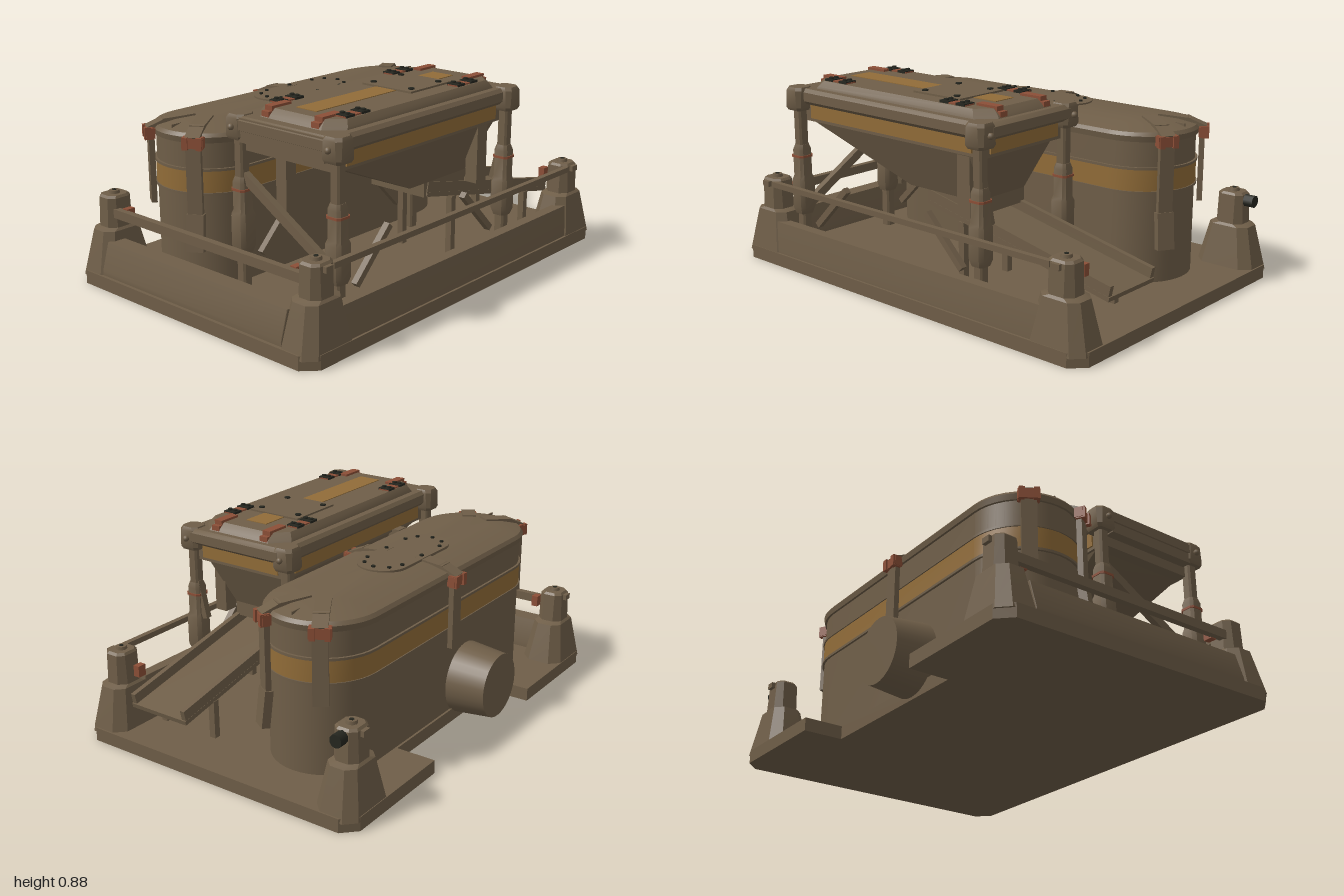
import * as THREE from 'three';
import { toCreasedNormals } from 'three/addons/utils/BufferGeometryUtils.js';

export function createModel() {
  const root = new THREE.Group();
  const material = (name, color) => {
    const m = new THREE.MeshStandardMaterial({ color });
    m.name = name;
    return m;
  };
  const brown = material('brown paint', 0x6f5e48);
  const ochre = material('ochre stripe', 0x916c38);
  const rust = material('rust clamp', 0x8c4f37);
  const black = material('black bolt', 0x25261f);

  const add = (name, geo, mat, parent = root) => {
    const mesh = new THREE.Mesh(geo, mat);
    mesh.name = name;
    parent.add(mesh);
    return mesh;
  };
  // box given by its limits
  const box = (name, x0, x1, y0, y1, z0, z1, mat = brown, parent = root) => {
    const m = add(name, new THREE.BoxGeometry(x1 - x0, y1 - y0, z1 - z0), mat, parent);
    m.position.set((x0 + x1) / 2, (y0 + y1) / 2, (z0 + z1) / 2);
    return m;
  };
  // straight bar between two points
  const bar = (name, a, b, w, d = w, mat = brown) => {
    const p = new THREE.Vector3(...a), q = new THREE.Vector3(...b);
    const m = add(name, new THREE.BoxGeometry(w, d, p.distanceTo(q)), mat);
    m.position.copy(p).add(q).multiplyScalar(0.5);
    m.lookAt(q);
    return m;
  };
  const bolt = (x, y, z, r = 0.011, parent = root) => {
    const m = add('bolt', new THREE.CylinderGeometry(r, r, 0.012, 6), black, parent);
    m.position.set(x, y, z);
  };
  // closed solid through rings listed bottom to top, each counterclockwise from above
  const loft = (rings) => {
    const v = [];
    const tri = (...ps) => ps.forEach((p) => v.push(p.x, p.y, p.z));
    const middle = (r) => r.reduce((s, p) => s.add(p), new THREE.Vector3()).divideScalar(r.length);
    const n = rings[0].length, top = rings[rings.length - 1];
    const cb = middle(rings[0]), ct = middle(top);
    for (let i = 0; i < n; i++) {
      const j = (i + 1) % n;
      for (let k = 0; k + 1 < rings.length; k++) {
        const lo = rings[k], up = rings[k + 1];
        tri(lo[i], lo[j], up[j], lo[i], up[j], up[i]);
      }
      tri(cb, rings[0][j], rings[0][i], ct, top[i], top[j]);
    }
    const g = new THREE.BufferGeometry();
    g.setAttribute('position', new THREE.Float32BufferAttribute(v, 3));
    return toCreasedNormals(g, 0.5);
  };
  // rectangle with cut corners
  const rect = (x0, x1, z0, z1, y, c) => [
    [x1, z1 - c], [x1, z0 + c], [x1 - c, z0], [x0 + c, z0],
    [x0, z0 + c], [x0, z1 - c], [x0 + c, z1], [x1 - c, z1],
  ].map(([x, z]) => new THREE.Vector3(x, y, z));
  // long round-ended outline
  const stadium = (x, half, r, y) => {
    const ring = [];
    for (let i = 0; i < 42; i++) {
      const a = Math.PI * (i < 21 ? i / 20 : 1 + (i - 21) / 20);
      ring.push(new THREE.Vector3(x + r * Math.cos(a), y, -r * Math.sin(a) + (i < 21 ? -half : half)));
    }
    return ring;
  };

  // base plate with a notch on one side
  const plan = new THREE.Shape([
    [-0.64, -1], [0.64, -1], [0.7, -0.94], [0.7, 0.94], [0.64, 1], [-0.64, 1], [-0.7, 0.94],
    [-0.7, 0.41], [-0.52, 0.41], [-0.52, -0.41], [-0.7, -0.41], [-0.7, -0.94],
  ].map(([x, y]) => new THREE.Vector2(x, y)));
  const plate = new THREE.ExtrudeGeometry(plan, { depth: 0.06, bevelEnabled: false });
  add('basePlate', plate.rotateX(-Math.PI / 2), brown);

  // sloped kerbs and rails
  add('frontKerb', loft([rect(-0.54, 0.54, 0.84, 0.985, 0.06, 0.002), rect(-0.54, 0.54, 0.84, 0.985, 0.08, 0.002),
    rect(-0.54, 0.54, 0.87, 0.95, 0.2, 0.002)]), brown);
  add('sideKerb', loft([rect(0.6, 0.69, -0.8, 0.8, 0.05, 0.002), rect(0.6, 0.69, -0.8, 0.8, 0.07, 0.002),
    rect(0.62, 0.67, -0.8, 0.8, 0.2, 0.002)]), brown);
  box('frontRail', -0.58, 0.58, 0.295, 0.335, 0.87, 0.9);
  box('sideRail', 0.635, 0.66, 0.355, 0.38, -0.82, 0.82);

  // corner posts
  for (const sx of [-1, 1]) for (const sz of [-1, 1]) {
    const x = sx * 0.6, z = sz * 0.855;
    const oct = (hx, hz, y, c) => rect(x - hx, x + hx, z - hz, z + hz, y, c);
    add('cornerPost', loft([oct(0.1, 0.142, 0.04, 0.045), oct(0.097, 0.138, 0.06, 0.045),
      oct(0.068, 0.095, 0.24, 0.035), oct(0.058, 0.065, 0.25, 0.03),
      oct(0.053, 0.06, 0.38, 0.025), oct(0.045, 0.05, 0.39, 0.022)]), brown);
    add('postCap', new THREE.CylinderGeometry(0.022, 0.025, 0.015, 8), brown).position.set(x, 0.396, z);
    bolt(x, 0.4, z, 0.01);
    box('postPeg', x + sx * 0.05 - 0.02, x + sx * 0.05 + 0.02, 0.355, 0.38, z - 0.02, z + 0.02);
    if (sx > 0 || sz > 0) {
      const c = sx > 0 ? 0.5 : -0.505;
      box('postClamp', c - 0.015, c + 0.015, 0.29, 0.34, z - 0.02, z + 0.02, rust);
    }
  }
  const lamp = add('backLamp', new THREE.CylinderGeometry(0.028, 0.028, 0.06, 10), black);
  lamp.rotation.x = Math.PI / 2;
  lamp.position.set(-0.6, 0.355, -0.93);

  // tank with painted band and domed lid
  const T = -0.275, H = 0.57;
  const tank = (name, mat, ...rows) => add(name, loft(rows.map(([r, y]) => stadium(T, H, r, y))), mat);
  tank('tankBody', brown, [0.235, 0.05], [0.235, 0.69]);
  tank('tankBand', ochre, [0.24, 0.465], [0.24, 0.56]);
  tank('bandLowerRim', brown, [0.245, 0.455], [0.245, 0.466]);
  tank('bandUpperRim', brown, [0.245, 0.559], [0.245, 0.57]);
  tank('tankLid', brown, [0.245, 0.68], [0.25, 0.705], [0.238, 0.72], [0.16, 0.74], [0.08, 0.75]);
  add('hatch', loft([stadium(T, 0.16, 0.112, 0.735), stadium(T, 0.16, 0.112, 0.757)]), brown);
  for (const s of [-1, 1]) {
    bolt(T + s * 0.09, 0.758, 0, 0.009);
    for (let i = 0; i < 5; i++) {
      const a = (i / 4) * Math.PI;
      bolt(T + 0.088 * Math.cos(a), 0.758, s * (0.15 + 0.085 * Math.sin(a)), 0.009);
    }
    box('lidSeam', T - 0.003, T + 0.003, 0.72, 0.738, s * 0.7 - 0.09, s * 0.7 + 0.09);
  }

  // strap that hooks over the lid edge; local +z points outward
  const strap = (z, angle, long) => {
    const g = new THREE.Group();
    g.name = 'tankStrap';
    g.position.set(T, 0, z);
    g.rotation.y = angle;
    root.add(g);
    const w = 0.032;
    const arm = box('strapArm', -w, w, -0.009, 0.009, -0.07, 0.07, brown, g);
    arm.position.set(0, 0.742, 0.14);
    arm.rotation.x = 0.1;
    const tip = box('strapTip', -w, w, -0.008, 0.008, -0.045, 0.045, brown, g);
    tip.position.set(0, 0.722, 0.235);
    tip.rotation.x = 0.4;
    box('strapClamp', -0.045, 0.045, 0.665, 0.708, 0.245, 0.282, rust, g);
    for (const s of [-1, 1]) box('clampEar', s * 0.03 - 0.012, s * 0.03 + 0.012, 0.66, 0.712, 0.25, 0.29, rust, g);
    box('strapStrip', -w, w, 0.38, 0.67, 0.248, 0.272, brown, g);
    if (long) {
      const foot = box('strapFoot', -0.037, 0.037, -0.08, 0.08, -0.018, 0.018, brown, g);
      foot.position.set(0, 0.3, 0.268);
      foot.rotation.x = -0.12;
    }
  };
  for (const s of [-0.55, 0.55]) {
    strap(H, s, s > 0);
    strap(-H, Math.PI - s, s > 0);
  }
  strap(0, Math.PI / 2, false);
  strap(0, -Math.PI / 2, false);

  // outlet stub on the tank side
  const stub = add('outletPipe', new THREE.CylinderGeometry(0.145, 0.165, 0.19, 32), brown);
  stub.rotation.z = Math.PI / 2;
  stub.position.set(-0.592, 0.175, 0.15);

  // hopper body, lip and stripes
  add('hopperFunnel', loft([rect(0.155, 0.455, -0.27, 0.12, 0.455, 0.004), rect(0.07, 0.545, -0.36, 0.66, 0.68, 0.004)]), brown);
  box('hopperCollar', 0.06, 0.555, 0.675, 0.77, -0.4, 0.7);
  add('hopperLip', loft([rect(0.045, 0.575, -0.43, 0.72, 0.755, 0.03), rect(0.03, 0.59, -0.45, 0.75, 0.77, 0.04),
    rect(0.03, 0.59, -0.45, 0.75, 0.81, 0.04), rect(0.045, 0.575, -0.43, 0.73, 0.825, 0.04)]), brown);
  box('frontLip', 0.08, 0.54, 0.72, 0.82, 0.69, 0.745);
  for (const x of [0.057, 0.558]) box('sideStripe', x - 0.004, x + 0.004, 0.69, 0.757, -0.34, 0.64, ochre);
  box('backStripe', 0.1, 0.52, 0.69, 0.757, -0.406, -0.398, ochre);

  // hopper lid
  add('hopperLid', loft([rect(0.075, 0.545, -0.41, 0.69, 0.82, 0.07), rect(0.08, 0.54, -0.4, 0.68, 0.835, 0.07),
    rect(0.1, 0.52, -0.37, 0.65, 0.86, 0.06)]), brown);
  box('lidStripe', 0.25, 0.36, 0.858, 0.863, -0.29, 0.59, ochre);
  box('lidPlate', 0.175, 0.44, 0.857, 0.868, -0.165, 0.105);
  for (const x of [0.205, 0.41]) for (const z of [-0.12, 0.065]) bolt(x, 0.868, z, 0.014);
  for (const x of [0.172, 0.44]) for (const s of [-1, 1]) {
    const z = 0.14 + s * 0.47;
    box('lidClamp', x - 0.02, x + 0.02, 0.835, 0.87, z - 0.055, z + 0.055, rust);
    box('clampHook', x - 0.02, x + 0.02, 0.82, 0.85, z + s * 0.06 - 0.015, z + s * 0.06 + 0.015, rust);
    const hx = x < 0.3 ? 0.13 : 0.485, hz = 0.165 + s * 0.355;
    box('hinge', hx - 0.026, hx + 0.026, 0.856, 0.866, hz - 0.07, hz + 0.07, rust);
    for (const dz of [-0.045, 0.045]) {
      box('hingePad', hx - 0.03, hx + 0.03, 0.858, 0.87, hz + dz - 0.024, hz + dz + 0.024, black);
      for (const dx of [-0.014, 0.014]) bolt(hx + dx, 0.871, hz + dz, 0.011);
    }
  }

  // hopper columns with caps and sleeves
  for (const x of [0.05, 0.572]) for (const s of [-1, 1]) {
    const z = 0.152 + s * 0.55;
    const sq = (h, y, c) => rect(x - h, x + h, z - h, z + h, y, c);
    add('columnCap', loft([sq(0.042, 0.725, 0.012), sq(0.05, 0.74, 0.015), sq(0.05, 0.815, 0.02), sq(0.042, 0.83, 0.02)]), brown);
    add('column', loft([sq(0.024, 0.06, 0.008), sq(0.024, 0.74, 0.008)]), brown);
    add('columnSleeve', loft([sq(0.032, 0.24, 0.012), sq(0.042, 0.27, 0.015), sq(0.042, 0.4, 0.015),
      sq(0.034, 0.42, 0.012), sq(0.034, 0.54, 0.012), sq(0.026, 0.565, 0.01)]), brown);
    add('sleeveRing', loft([sq(0.038, 0.506, 0.012), sq(0.038, 0.516, 0.012)]), rust);
    // knee braces toward the middle of the long sides
    bar('kneeBrace', [x, 0.4, z - s * 0.3], [x, 0.2, z - s * 0.1], 0.028);
    add('capKnob', new THREE.SphereGeometry(0.014, 10, 8), brown).position.set(x, 0.78, z + s * 0.055);
  }
  bar('frontBrace', [0.06, 0.57, 0.7], [0.56, 0.27, 0.7], 0.03, 0.04);
  bar('backBrace', [0.56, 0.57, -0.4], [0.52, 0.4, -0.4], 0.03);
  box('innerBracket', 0.02, 0.08, 0.32, 0.69, 0.42, 0.48);
  box('outerBracket', 0.48, 0.54, 0.41, 0.68, -0.31, -0.24);

  // discharge chute sloping to the back
  box('chuteMouth', 0.158, 0.452, 0.39, 0.47, -0.27, 0.02);
  bar('chuteFloor', [0.308, 0.4, 0], [0.308, 0.2, -0.95], 0.3, 0.02);
  for (const x of [0.17, 0.446]) {
    bar('chuteWall', [x, 0.425, 0], [x, 0.225, -0.95], 0.022, 0.06);
    box('chuteLeg', x - 0.015, x + 0.015, 0.05, 0.23, -0.78, -0.75);
    box('chuteLeg', x - 0.015, x + 0.015, 0.05, 0.35, -0.2, -0.17);
  }
  return root;
}
